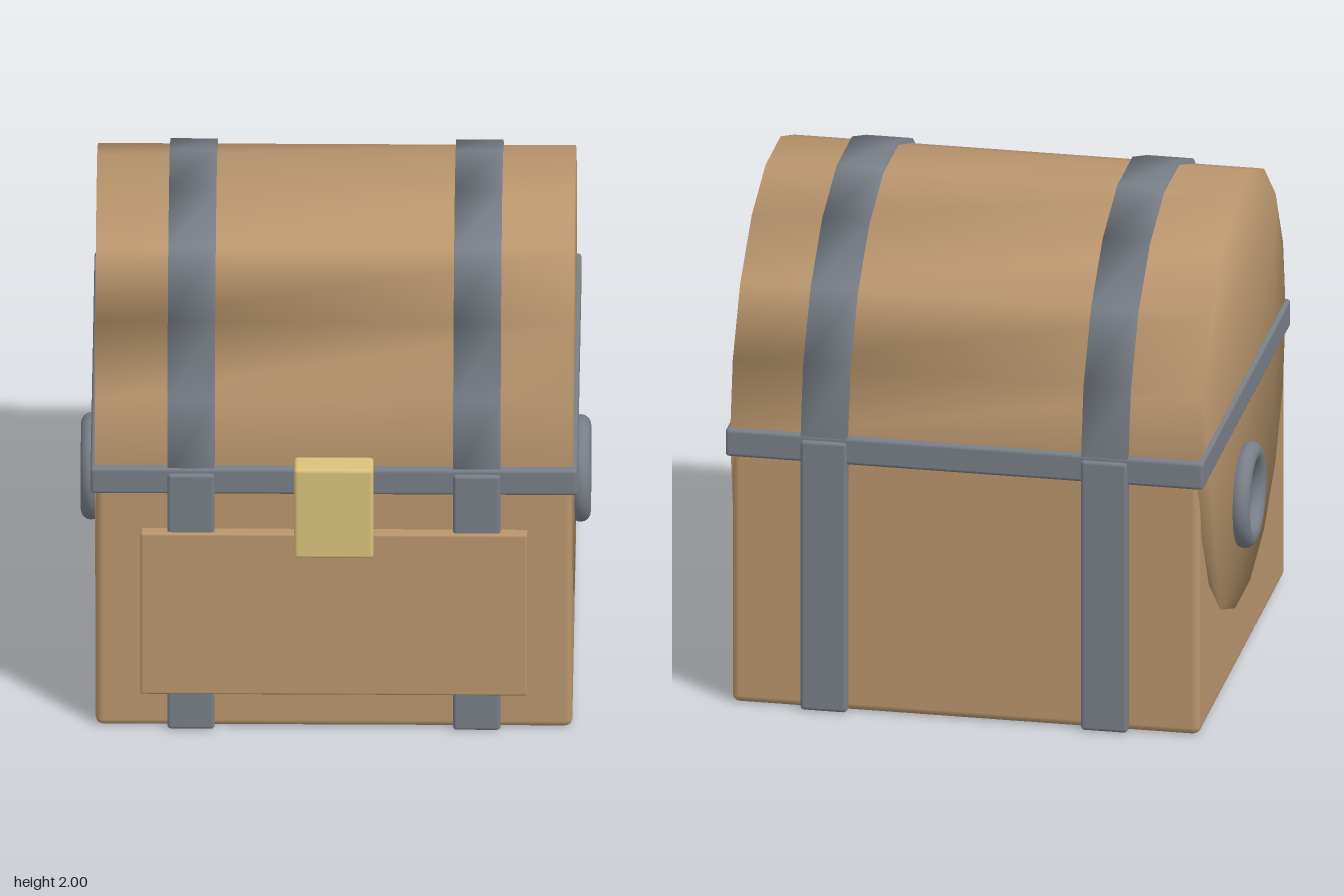
import * as THREE from 'three';
import { mergeVertices } from 'three/addons/utils/BufferGeometryUtils.js';
import { RoundedBoxGeometry } from 'three/addons/geometries/RoundedBoxGeometry.js';

const AXIS_Y = 1.12, AXIS_Z = -0.035; // axis of the barrel lid

export function createModel() {
  const chest = new THREE.Group();
  chest.name = 'treasureChest';

  const material = (name, color) => {
    const m = new THREE.MeshStandardMaterial({ color });
    m.name = name;
    return m;
  };
  const wood = material('wood', 0xb8956c);
  const iron = material('iron', 0x787e87);
  const brass = material('brass', 0xdac27c);

  const add = (name, geometry, mat, x = 0, y = 0, z = 0) => {
    const mesh = new THREE.Mesh(geometry, mat);
    mesh.name = name;
    mesh.position.set(x, y, z);
    chest.add(mesh);
    return mesh;
  };

  // Softly bevelled box given by its extents
  const block = (name, mat, [x0, x1], [y0, y1], [z0, z1], bevel) =>
    add(name, new RoundedBoxGeometry(x1 - x0, y1 - y0, z1 - z0, 2, bevel), mat,
      (x0 + x1) / 2, (y0 + y1) / 2, (z0 + z1) / 2);

  // 18-sided drum lying along x, with normals smoothed over the whole surface
  const drum = (name, mat, radius, width, x) => {
    const points = [];
    for (let i = 0; i < 18; i++) {
      const a = THREE.MathUtils.degToRad(10 + i * 20);
      points.push(new THREE.Vector2(Math.sin(a) * radius, Math.cos(a) * radius));
    }
    let g = new THREE.ExtrudeGeometry(new THREE.Shape(points), { depth: width, bevelEnabled: false });
    g.translate(0, 0, -width / 2);
    g.rotateY(Math.PI / 2);
    g.deleteAttribute('uv');
    g.deleteAttribute('normal');
    g.clearGroups();
    g = mergeVertices(g, 1e-4);
    g.computeVertexNormals();
    return add(name, g, mat, x, AXIS_Y, AXIS_Z);
  };

  // Body and barrel lid
  block('body', wood, [-0.93, 0.93], [0, 1.1], [-0.9, 0.84], 0.03);
  drum('lid', wood, 0.873, 1.866, 0);

  // Iron rim between body and lid
  block('rim', iron, [-0.95, 0.95], [1.04, 1.155], [-0.925, 0.86], 0.015);

  // Front panel and lock
  block('frontPanel', wood, [-0.755, 0.755], [0.165, 0.88], [0.8, 0.885], 0.01);
  block('lock', brass, [-0.155, 0.155], [0.8, 1.195], [0.825, 0.94], 0.015);

  for (const side of [-1, 1]) {
    const label = side > 0 ? 'left' : 'right';
    const x = side * 0.5575;
    // Straps around the body and over the lid
    block(label + 'BodyStrap', iron, [x - 0.0925, x + 0.0925], [0.003, 1.135], [-0.938, 0.873], 0.015);
    drum(label + 'LidStrap', iron, 0.893, 0.185, x);
    // Ring handle
    const ring = add(label + 'RingHandle', new THREE.TorusGeometry(0.17, 0.04, 16, 48), iron,
      side * 0.955, 0.68, AXIS_Z);
    ring.rotation.y = Math.PI / 2;
  }

  return chest;
}
